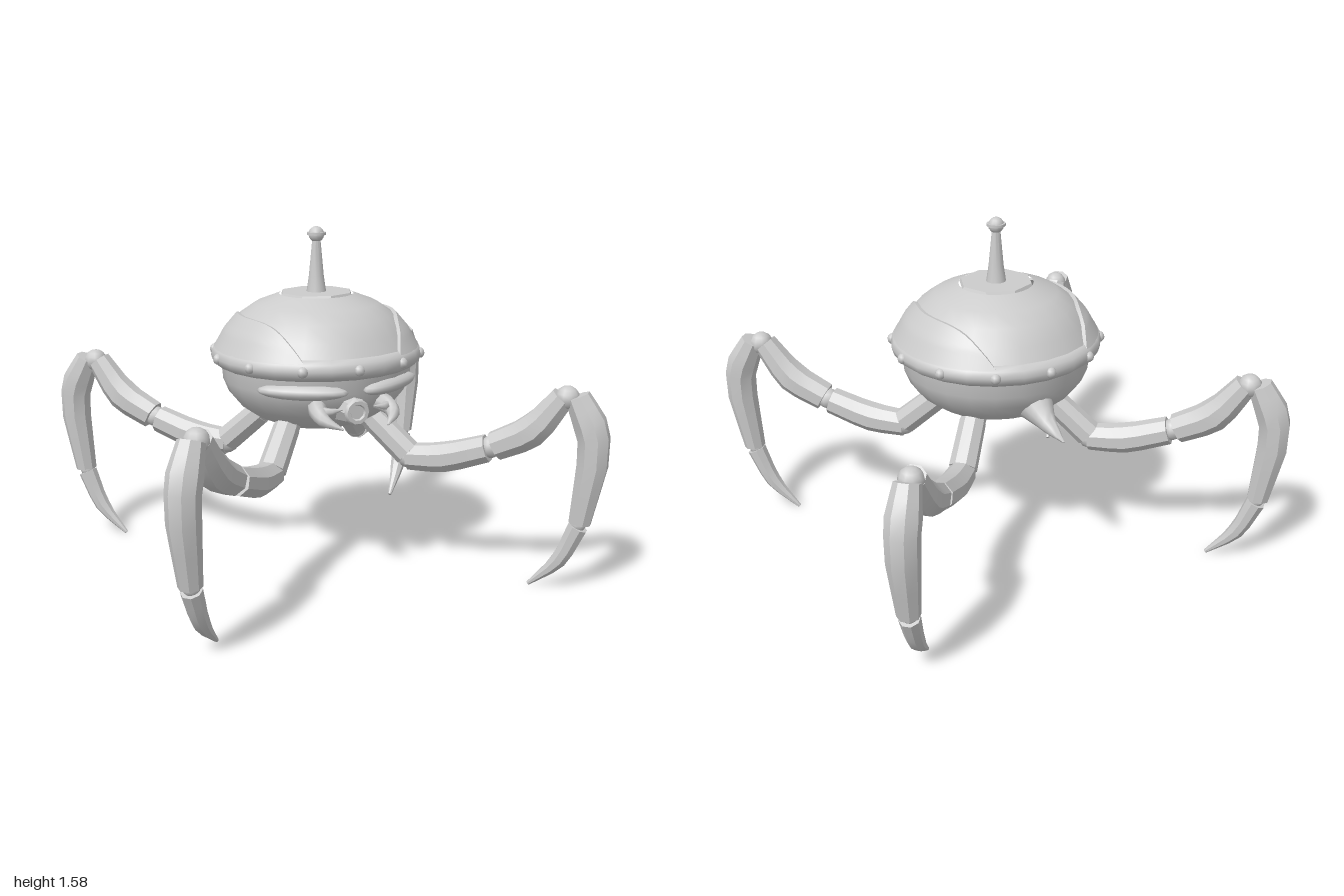
import * as THREE from 'three';
import { toCreasedNormals } from 'three/addons/utils/BufferGeometryUtils.js';
import { ParametricGeometry } from 'three/addons/geometries/ParametricGeometry.js';

const grey = new THREE.MeshStandardMaterial({ color: 0xcccccc });
const greyDouble = new THREE.MeshStandardMaterial({ color: 0xcccccc, side: THREE.DoubleSide });
const V = (x, y, z) => new THREE.Vector3(x, y, z);

function add(parent, name, geometry, material = grey, crease = 0.7) {
  const mesh = new THREE.Mesh(crease ? toCreasedNormals(geometry, crease) : geometry, material);
  mesh.name = name;
  parent.add(mesh);
  return mesh;
}

// Capped limb along a smooth path; radii are spread evenly over the path.
function limb(points, radii, side, { sides = 8, steps = 6, aspect = 1 } = {}) {
  const curve = new THREE.CatmullRomCurve3(points);
  const pos = [], index = [];
  for (let i = 0; i <= steps; i++) {
    const t = i / steps, p = curve.getPoint(t), tan = curve.getTangent(t);
    const s = side.clone().addScaledVector(tan, -side.dot(tan)).normalize();
    const n = tan.clone().cross(s);
    const f = t * (radii.length - 1), k = Math.min(Math.floor(f), radii.length - 2);
    const r = THREE.MathUtils.lerp(radii[k], radii[k + 1], f - k);
    for (let j = 0; j < sides; j++) {
      const a = ((j + 0.5) / sides) * Math.PI * 2;
      const q = p.clone().addScaledVector(s, Math.cos(a) * r * aspect).addScaledVector(n, Math.sin(a) * r);
      pos.push(q.x, q.y, q.z);
    }
  }
  const first = points[0], last = points[points.length - 1];
  const c0 = pos.length / 3, c1 = c0 + 1;
  pos.push(first.x, first.y, first.z, last.x, last.y, last.z);
  for (let j = 0; j < sides; j++) {
    const k = (j + 1) % sides, e = steps * sides;
    for (let i = 0; i < steps; i++) {
      const a = i * sides, b = a + sides;
      index.push(a + j, a + k, b + k, a + j, b + k, b + j);
    }
    index.push(c0, k, j, c1, e + j, e + k);
  }
  const g = new THREE.BufferGeometry();
  g.setAttribute('position', new THREE.Float32BufferAttribute(pos, 3));
  g.setIndex(index);
  g.computeVertexNormals();
  return g;
}

const lathe = (pts, segments) =>
  new THREE.LatheGeometry(pts.map(([r, y]) => new THREE.Vector2(r, y)), segments);

const domeProfile = [[0.455, 1.04], [0.41, 1.12], [0.35, 1.19], [0.28, 1.238], [0.17, 1.28]];

function domeRadius(y) {
  for (let i = 1; i < domeProfile.length; i++) {
    const [r0, y0] = domeProfile[i - 1], [r1, y1] = domeProfile[i];
    if (y <= y1) return THREE.MathUtils.mapLinear(y, y0, y1, r0, r1);
  }
  return 0.17;
}

function buildBody() {
  const body = new THREE.Group();
  body.name = 'body';
  body.scale.z = 0.965;

  add(body, 'lowerHull', lathe([[0, 0.665], [0.1, 0.672], [0.2, 0.695], [0.29, 0.735], [0.36, 0.785],
    [0.405, 0.84], [0.43, 0.9], [0.44, 1.0]], 24));
  add(body, 'dome', lathe(domeProfile, 24));
  add(body, 'domeCap', new THREE.CylinderGeometry(0.165, 0.172, 0.014, 8).translate(0, 1.281, 0));

  // Rim with studs
  add(body, 'rim', new THREE.TorusGeometry(0.435, 0.049, 10, 24).rotateX(Math.PI / 2).translate(0, 1.013, 0));
  for (let i = 0; i < 12; i++) {
    const a = (i / 12) * Math.PI * 2;
    const stud = add(body, 'rimStud', new THREE.SphereGeometry(0.025, 8, 6), grey, 0);
    stud.position.set(Math.sin(a) * 0.474, 1.013, Math.cos(a) * 0.474);
  }

  // Raised side panels: an arched top edge that folds back onto the dome
  for (const sx of [1, -1]) {
    const panel = new ParametricGeometry((u, v, target) => {
      const k = u * 2 - 1, a = k * 1.05;
      const top = 1.045 + 0.148 * (1 - k ** 4);
      const y = THREE.MathUtils.lerp(1.04, top, Math.min(1, v / 0.9));
      const r = domeRadius(y) + (v > 0.95 ? -0.01 : 0.013);
      target.set(sx * Math.cos(a) * r, y + (v > 0.95 ? 0 : 0.005), Math.sin(a) * r);
    }, 24, 10);
    add(body, 'sidePanel', panel, greyDouble);
  }

  // Antenna
  add(body, 'antenna', lathe([[0.046, 1.28], [0.034, 1.36], [0.019, 1.52]], 12));
  add(body, 'antennaBall', new THREE.SphereGeometry(0.036, 12, 8).translate(0, 1.545, 0), grey, 0);
  add(body, 'antennaCollar', new THREE.CylinderGeometry(0.043, 0.043, 0.012, 12).translate(0, 1.548, 0));
  return body;
}

function buildFace() {
  const face = new THREE.Group();
  face.name = 'face';
  // Mouth: a short snout with a raised lip
  add(face, 'snout', new THREE.CylinderGeometry(0.055, 0.075, 0.12, 8).rotateX(Math.PI / 2).translate(0, 0.825, 0.38));
  add(face, 'lip', new THREE.TorusGeometry(0.044, 0.016, 6, 10).translate(0, 0.825, 0.435));

  for (const sx of [1, -1]) {
    // Heavy eyelid wrapped against the hull
    const lid = add(face, 'eyelid', new THREE.SphereGeometry(1, 16, 10), grey, 0);
    lid.scale.set(0.2, 0.037, 0.06);
    lid.position.set(sx * 0.21, 0.912, 0.33);
    lid.rotation.y = sx * 0.56;

    // Hooked mandible with a small inner prong
    const up = V(0, 1, 0);
    add(face, 'mandible', limb([V(sx * 0.12, 0.85, 0.29), V(sx * 0.165, 0.835, 0.39),
      V(sx * 0.165, 0.81, 0.455), V(sx * 0.105, 0.78, 0.525)], [0.045, 0.04, 0.03, 0.004], up, { steps: 9 }), grey, 1.2);
    add(face, 'prong', limb([V(sx * 0.16, 0.835, 0.4), V(sx * 0.13, 0.84, 0.44), V(sx * 0.075, 0.85, 0.455)],
      [0.026, 0.017, 0.003], up, { sides: 6, steps: 5 }), grey, 1.2);
  }
  return face;
}

// One leg running out along a diagonal; path points are [x, y].
function buildLeg(sx, sz) {
  const leg = new THREE.Group();
  leg.name = (sz > 0 ? 'front' : 'back') + (sx > 0 ? 'Left' : 'Right') + 'Leg';
  const side = V(sz, 0, -sx);
  const at = ([x, y]) => V(sx * x, y, sz * (x - 0.055));
  const part = (name, path, radii, opts) => add(leg, name, limb(path.map(at), radii, side, opts));
  const joint = (name, p, r) =>
    add(leg, name, new THREE.SphereGeometry(r, 10, 8), grey, 0).position.copy(at(p));

  part('hipSocket', [[0.17, 0.77], [0.23, 0.69]], [0.062, 0.056], { steps: 1 });
  part('hip', [[0.215, 0.71], [0.335, 0.56]], [0.06, 0.064], { steps: 1 });
  joint('hipJoint', [0.338, 0.548], 0.056);
  part('upperLeg', [[0.335, 0.545], [0.455, 0.56], [0.595, 0.622]], [0.062, 0.07, 0.064]);
  joint('upperJoint', [0.607, 0.63], 0.05);
  part('middleLeg', [[0.62, 0.637], [0.735, 0.725], [0.825, 0.885]], [0.068, 0.076, 0.056]);
  joint('knee', [0.838, 0.885], 0.054);
  part('shin', [[0.868, 0.895], [0.925, 0.71], [0.895, 0.325]], [0.056, 0.074, 0.07, 0.05]);
  joint('ankle', [0.89, 0.32], 0.036);
  part('foot', [[0.89, 0.307], [0.835, 0.14], [0.742, 0.01]], [0.046, 0.037, 0.009]);
  return leg;
}

export function createModel() {
  const model = new THREE.Group();
  model.name = 'walker';
  model.add(buildBody(), buildFace());

  // Flared tail spike, growing out of the rear of the hull
  add(model, 'tailSpike', limb([V(0, 0.87, -0.23), V(0, 0.815, -0.34), V(0, 0.765, -0.44), V(0, 0.728, -0.57)],
    [0.17, 0.11, 0.075, 0.048, 0.027, 0.004], V(1, 0, 0), { sides: 12, steps: 10 }), grey, 1.2);

  for (const sx of [1, -1]) for (const sz of [1, -1]) model.add(buildLeg(sx, sz));
  return model;
}
